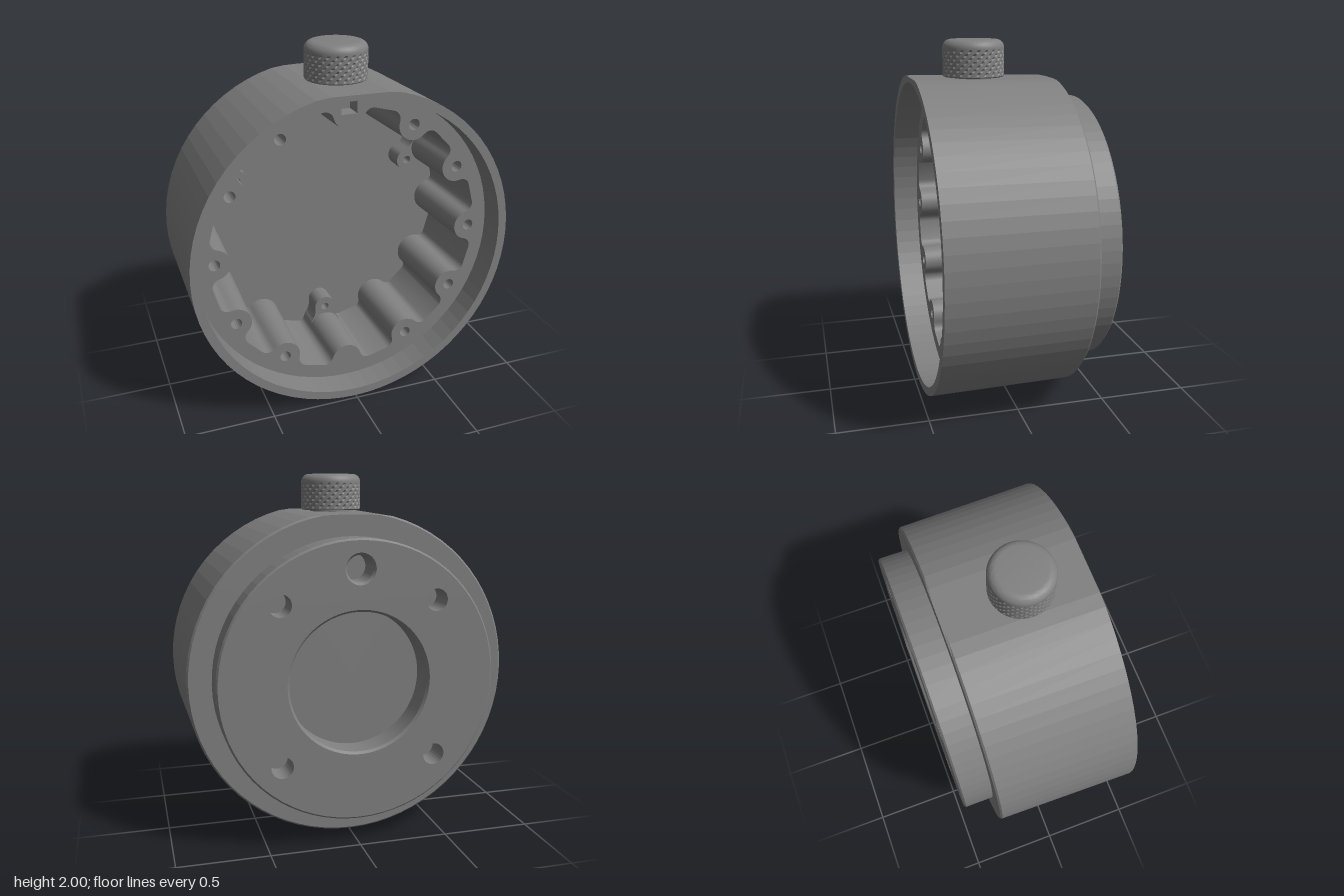
import * as THREE from 'three';
import { toCreasedNormals } from 'three/addons/utils/BufferGeometryUtils.js';

const V = (x, y) => new THREE.Vector2(x, y);
const mat = new THREE.MeshStandardMaterial({ color: 0x808080 });
const FLOOR = -0.175, LEDGE = 0.325, BACK = -0.478, POCKET = -0.32;

function add(parent, name, geo, crease = 0.5) {
  const mesh = new THREE.Mesh(toCreasedNormals(geo, crease), mat);
  mesh.name = name;
  parent.add(mesh);
  return mesh;
}

// Surface of revolution about z; profile points are [radius, z]
const turn = (pts, seg = 32) =>
  new THREE.LatheGeometry(pts.map(p => V(...p)), seg).rotateX(Math.PI / 2);

// Extrude a shape between two z values
const slab = (shape, z0, z1, curveSegments = 24) =>
  new THREE.ExtrudeGeometry(shape, { depth: z1 - z0, bevelEnabled: false, curveSegments }).translate(0, 0, z0);

const circle = (x, y, r, Type = THREE.Path) => new Type().absarc(x, y, r, 0, Math.PI * 2, false);
const polar = (r, a) => V(r * Math.cos(a), r * Math.sin(a));

// Centres of the ten screw holes: every 30 degrees except top and bottom
const screwHoles = [0, 1, 2, 4, 5, 6, 7, 8, 10, 11].map(k => polar(0.75, k * Math.PI / 6));

// Points on an arc around c, from the direction of p to the direction of q
function arc(c, r, p, q, n) {
  const a = Math.atan2(p.y - c.y, p.x - c.x);
  let d = Math.atan2(q.y - c.y, q.x - c.x) - a;
  d = Math.atan2(Math.sin(d), Math.cos(d));
  return Array.from({ length: n + 1 }, (_, i) => polar(r, a + d * i / n).add(c));
}

// Cavity outline: round wall with twelve filleted lobes, moved inward by an offset
function cavityOutline(offset) {
  const wall = 0.78 - offset, lobe = 0.088 + offset, fillet = 0.05 - offset;
  const lobeAt = 0.75, rf = wall - fillet;
  const delta = Math.acos((rf * rf + lobeAt * lobeAt - (lobe + fillet) ** 2) / (2 * rf * lobeAt));
  const pts = [];
  for (let k = 0; k < 12; k++) {
    const a = k * Math.PI / 6;
    const L = polar(lobeAt, a), F1 = polar(rf, a - delta), F2 = polar(rf, a + delta);
    pts.push(...arc(F1, fillet, polar(wall, a - delta), L, 5));
    pts.push(...arc(L, lobe, F1, F2, 12).slice(1));
    pts.push(...arc(F2, fillet, L, polar(wall, a + delta), 5).slice(1));
  }
  return pts;
}

// Tapered cavity wall between the ledge and a slightly smaller outline at the floor
function cavityWall() {
  const front = cavityOutline(0), back = cavityOutline(0.013), n = front.length;
  const pos = [], index = [];
  for (let i = 0; i < n; i++) {
    pos.push(front[i].x, front[i].y, LEDGE, back[i].x, back[i].y, FLOOR);
    const a = 2 * i, b = 2 * ((i + 1) % n);
    index.push(a, b, a + 1, b, b + 1, a + 1);
  }
  const geo = new THREE.BufferGeometry();
  geo.setAttribute('position', new THREE.Float32BufferAttribute(pos, 3));
  geo.setIndex(index);
  return geo;
}

// Ledge around the cavity with the screw holes and the slot at the top
function ledgeShape() {
  const s = circle(0, 0, 0.88, THREE.Shape);
  s.holes.push(new THREE.Path(cavityOutline(0)));
  for (const c of screwHoles) s.holes.push(circle(c.x, c.y, 0.031));
  const slot = new THREE.Path();
  slot.moveTo(-0.045, 0.745).lineTo(0.045, 0.745).lineTo(0.045, 0.81);
  slot.quadraticCurveTo(0.05, 0.845, 0.085, 0.855).lineTo(0.085, 0.87).lineTo(-0.085, 0.87);
  slot.lineTo(-0.085, 0.855).quadraticCurveTo(-0.05, 0.845, -0.045, 0.81).lineTo(-0.045, 0.745);
  s.holes.push(slot);
  return s;
}

export function createModel() {
  const model = new THREE.Group();
  const housing = new THREE.Group();
  housing.name = 'housing';
  housing.position.y = 0.91;
  model.add(housing);

  // Faceted outer shell with stepped back and raised front rim; flat on top for the knob
  const shell = turn([
    [0.745, BACK], [0.753, BACK], [0.763, BACK + 0.01], [0.763, -0.31], [0.885, -0.31], [0.895, -0.3],
    [0.908, 0.478], [0.86, 0.478], [0.86, LEDGE - 0.01],
  ], 72);
  const p = shell.attributes.position;
  for (let i = 0; i < p.count; i++) {
    const limit = 0.88 + 0.016 * p.getZ(i);
    if (p.getY(i) > limit) p.setY(i, limit);
  }
  add(housing, 'outerShell', shell, 0.06);

  // Ledge, slot bottom, cavity wall and floor
  add(housing, 'frontLedge', slab(ledgeShape(), 0.13, LEDGE, 80));
  add(housing, 'slotBottom', new THREE.BoxGeometry(0.172, 0.128, 0.07).translate(0, 0.808, 0.185));
  add(housing, 'cavityWall', cavityWall());
  add(housing, 'cavityFloor', turn([
    [0, POCKET], [0.74, POCKET], [0.74, -0.3], [0.85, -0.3], [0.85, FLOOR], [0, FLOOR],
  ], 96));

  // Back plate with central recess, four mounting holes and a larger hole
  const plate = circle(0, 0, 0.75, THREE.Shape);
  plate.holes.push(circle(0, 0, 0.393), circle(0, 0.605, 0.084));
  for (const x of [-0.425, 0.425])
    for (const y of [-0.43, 0.43]) plate.holes.push(circle(x, y, 0.06));
  add(housing, 'backPlate', slab(plate, BACK, -0.31, 48));

  // Chamfered linings of the recess and the larger hole
  for (const [name, y, r] of [['recessLining', 0, 0.393], ['largeHoleLining', 0.605, 0.084]])
    add(housing, name, turn([
      [r - 0.012, POCKET], [r - 0.012, BACK + 0.015], [r, BACK],
    ], 96)).position.y = y;

  // Conical bottoms of the screw holes
  for (const c of screwHoles)
    add(housing, 'screwHoleBottom', turn([[0.033, 0.16], [0, 0.14]], 20)).position.set(c.x, c.y, 0);

  // Three short posts, each joined to a lobe by a flared neck
  for (const deg of [30, 150, 270]) {
    const post = new THREE.Group();
    post.name = 'mountingPost';
    post.rotation.z = THREE.MathUtils.degToRad(deg);
    housing.add(post);
    const s = new THREE.Shape();
    s.moveTo(0.72, 0.09).lineTo(0.70, 0.09).quadraticCurveTo(0.67, 0.065, 0.64, 0.064).lineTo(0.605, 0.064);
    s.absarc(0.605, 0, 0.064, Math.PI / 2, Math.PI * 1.5, false);
    s.lineTo(0.64, -0.064).quadraticCurveTo(0.67, -0.065, 0.70, -0.09).lineTo(0.72, -0.09);
    s.holes.push(circle(0.605, 0, 0.023));
    add(post, 'postBody', slab(s, FLOOR - 0.02, -0.05));
    add(post, 'postHoleBottom', turn([[0.025, -0.13], [0, -0.145]], 20)).position.x = 0.605;
  }

  // Knob on the flat: stem, knurled grip and rounded cap
  const knob = new THREE.Group();
  knob.name = 'knob';
  knob.position.z = 0.125;
  model.add(knob);
  add(knob, 'knobStem', new THREE.CylinderGeometry(0.12, 0.12, 0.05, 40).translate(0, 1.78, 0));

  // Grip surface covered in small pits
  const cols = 96, rows = 14;
  const grip = new THREE.CylinderGeometry(1, 1, 0.14, cols, rows, true).translate(0, 1.88, 0);
  const g = grip.attributes.position;
  for (let i = 0; i < g.count; i++) {
    const col = i % (cols + 1), row = Math.floor(i / (cols + 1));
    const r = row % 2 && (col + row) % 4 === 0 ? 0.162 : 0.17;
    g.setX(i, g.getX(i) * r);
    g.setZ(i, g.getZ(i) * r);
  }
  add(knob, 'knobGrip', grip, 0.1);

  const cap = [V(0.17, 1.95)];
  for (let i = 0; i <= 8; i++) cap.push(polar(0.045, i * Math.PI / 16).add(V(0.125, 1.955)));
  cap.push(V(0, 2));
  add(knob, 'knobCap', new THREE.LatheGeometry(cap, 64));
  add(knob, 'knobBase', new THREE.LatheGeometry([V(0, 1.8), V(0.165, 1.8), V(0.17, 1.805), V(0.17, 1.81)], 64));
  return model;
}
